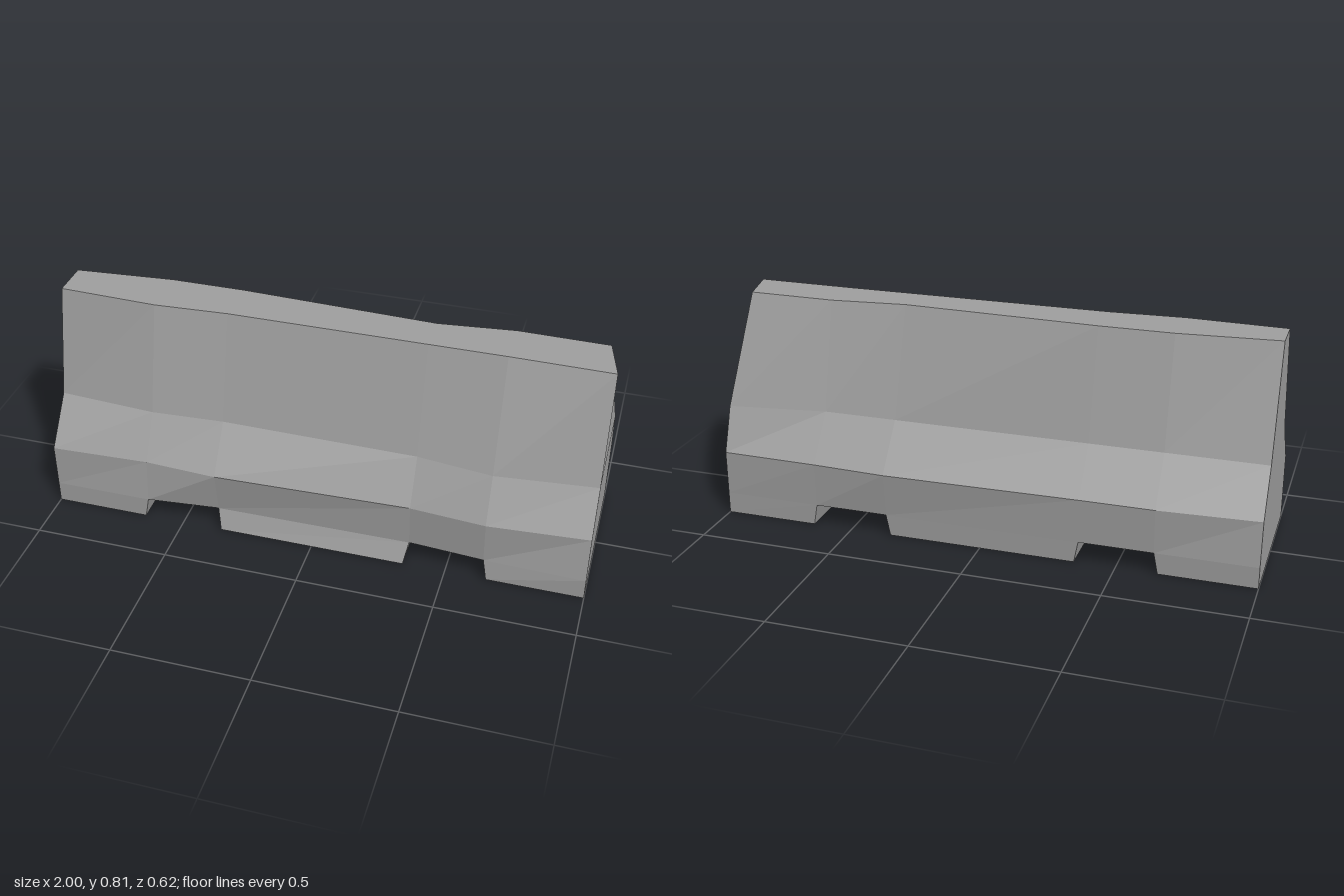
import * as THREE from 'three';

// Cross-section stations along the length, and the heights of the profile breaks
const X = [-1, -0.635, -0.365, 0.36, 0.635, 1];
const Y = [0.08, 0.245, 0.41, 0.81];

// Depth of the front and back surfaces: one row per height, one value per station
const FRONT = [
  [0.31, 0.31, 0.285, 0.28, 0.3, 0.31],
  [0.31, 0.295, 0.31, 0.288, 0.31, 0.285],
  [0.18, 0.205, 0.19, 0.2, 0.235, 0.2],
  [0.09, 0.105, 0.09, 0.09, 0.09, 0.095],
];
const BACK = [
  [-0.295, -0.295, -0.295, -0.295, -0.295, -0.293],
  [-0.28, -0.3, -0.3, -0.313, -0.3, -0.293],
  [-0.18, -0.18, -0.18, -0.18, -0.18, -0.235],
  [-0.05, -0.08, -0.08, -0.05, -0.08, -0.075],
];

// Collects four-cornered faces, counter-clockwise from outside
function faceBuilder() {
  const pos = [];
  return {
    quad(a, b, c, d) { pos.push(...a, ...b, ...c, ...a, ...c, ...d); },
    mesh(name, material) {
      const g = new THREE.BufferGeometry();
      g.setAttribute('position', new THREE.Float32BufferAttribute(pos, 3));
      g.computeVertexNormals();
      const m = new THREE.Mesh(g, material);
      m.name = name;
      return m;
    },
  };
}

const front = (s, l) => [X[s], Y[l], FRONT[l][s]];
// The far top corner is chipped slightly inward
const back = (s, l) => [s === 5 && l === 3 ? 0.96 : X[s], Y[l], BACK[l][s]];

function createBody(material) {
  const f = faceBuilder();
  const last = X.length - 1, top = Y.length - 1;
  for (let s = 0; s < last; s++) {
    for (let l = 0; l < top; l++) {
      f.quad(front(s, l), front(s + 1, l), front(s + 1, l + 1), front(s, l + 1));
      f.quad(back(s + 1, l), back(s, l), back(s, l + 1), back(s + 1, l + 1));
    }
    f.quad(front(s, top), front(s + 1, top), back(s + 1, top), back(s, top));
    // Undersides of the two drainage slots
    if (s % 2) f.quad(back(s, 0), back(s + 1, 0), front(s + 1, 0), front(s, 0));
  }
  // End faces
  for (let l = 0; l < top; l++) {
    f.quad(front(last, l), back(last, l), back(last, l + 1), front(last, l + 1));
    f.quad(back(0, l), front(0, l), front(0, l + 1), back(0, l + 1));
  }
  return f.mesh('barrierBody', material);
}

// A foot joins the body between stations s and s + 1 and tapers to x0..x1 on the ground
function createFoot(name, s, x0, x1, material) {
  const f = faceBuilder();
  const a = [x0, 0, 0.31], b = [x1, 0, 0.31], c = [x1, 0, -0.293], d = [x0, 0, -0.293];
  const A = front(s, 0), B = front(s + 1, 0), C = back(s + 1, 0), D = back(s, 0);
  f.quad(a, b, B, A);
  f.quad(b, c, C, B);
  f.quad(c, d, D, C);
  f.quad(d, a, A, D);
  f.quad(d, c, b, a);
  return f.mesh(name, material);
}

export function createModel() {
  const concrete = new THREE.MeshStandardMaterial({ color: 0xa0a0a0 });
  concrete.name = 'concrete';
  const group = new THREE.Group();
  group.name = 'roadBarrier';
  group.add(
    createBody(concrete),
    createFoot('rightFoot', 0, -1, -0.65, concrete),
    createFoot('middleFoot', 2, -0.35, 0.345, concrete),
    createFoot('leftFoot', 4, 0.65, 1, concrete),
  );
  return group;
}
